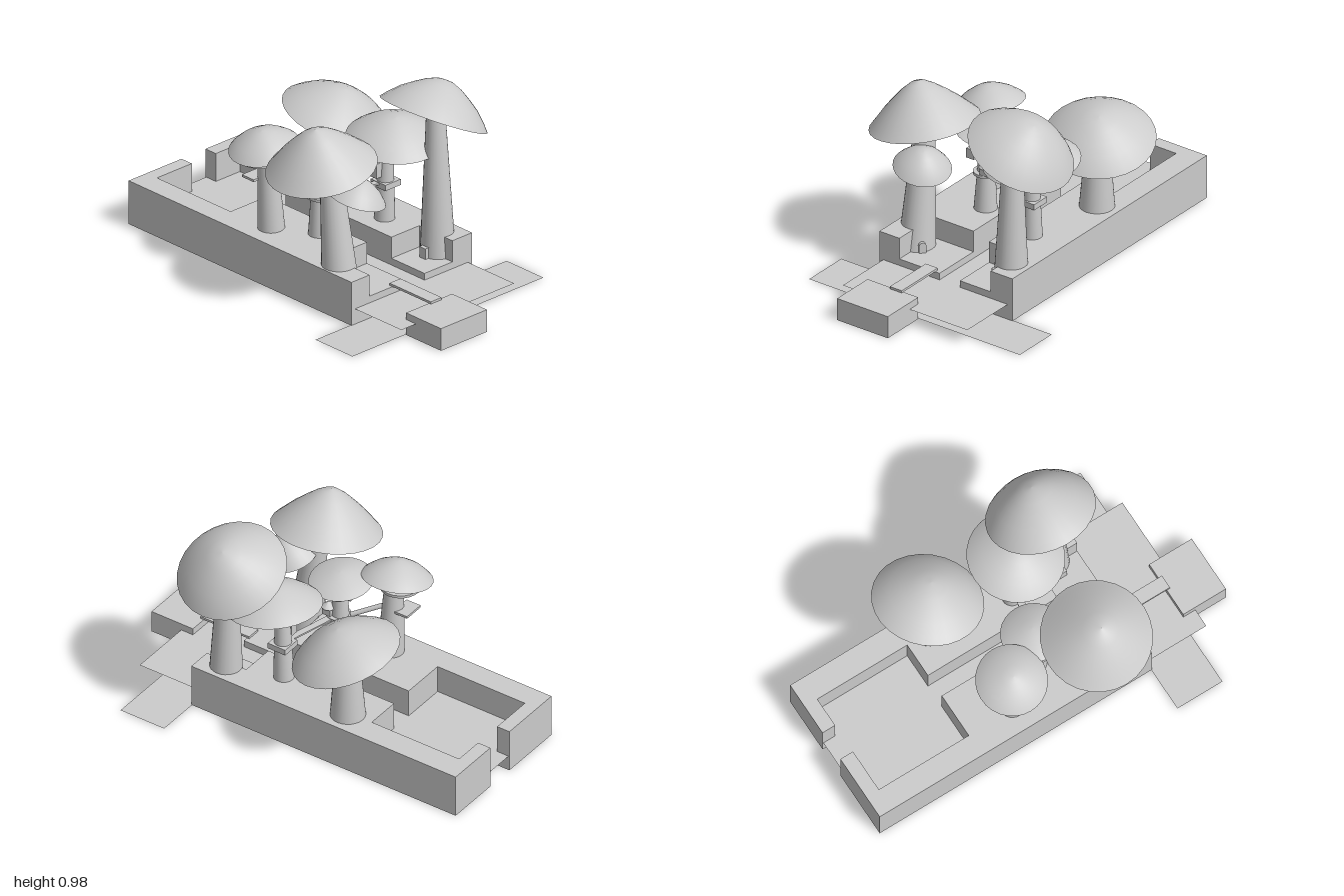
import * as THREE from 'three';

const mat = new THREE.MeshStandardMaterial({ color: 0xcccccc, side: THREE.DoubleSide });
const V = (x, y, z) => new THREE.Vector3(x, y, z);

function add(parent, name, geometry, x = 0, y = 0, z = 0) {
  const mesh = new THREE.Mesh(geometry, mat);
  mesh.name = name;
  mesh.position.set(x, y, z);
  parent.add(mesh);
  return mesh;
}

// Flat horizontal surface from an [x, z] outline
function sheet(outline) {
  const shape = new THREE.Shape(outline.map(([x, z]) => new THREE.Vector2(x, -z)));
  return new THREE.ShapeGeometry(shape).rotateX(-Math.PI / 2);
}

// Hollow block: a top surface and its walls, open underneath
function terrace(parent, name, outline, height) {
  const group = new THREE.Group();
  group.name = name;
  parent.add(group);
  add(group, name + 'Top', sheet(outline), 0, height, 0);
  outline.forEach(([x, z], i) => {
    const [u, w] = outline[(i + 1) % outline.length];
    const wall = new THREE.PlaneGeometry(Math.hypot(u - x, w - z), height);
    add(group, name + 'Wall', wall, (x + u) / 2, height / 2, (z + w) / 2)
      .rotation.y = -Math.atan2(w - z, u - x);
  });
}

const rect = (x0, x1, z0, z1) => [[x0, z1], [x1, z1], [x1, z0], [x0, z0]];

// Tapered round post between two points
function post(parent, name, a, b, r0, r1, sides = 24) {
  const dir = b.clone().sub(a);
  const mesh = add(parent, name, new THREE.CylinderGeometry(r1, r0, dir.length(), sides));
  mesh.position.copy(a).addScaledVector(dir, 0.5);
  mesh.quaternion.setFromUnitVectors(V(0, 1, 0), dir.normalize());
}

// Tilted mushroom cap; slope gives the rise of the rim along x and z
function cap(parent, { at, r, h, slope, round }) {
  const profile = [[1, 0], [0.9, 0.13 + round * 0.09], [0.72, 0.37 + round * 0.15],
    [0.52, 0.6 + round * 0.13], [0.33, 0.8 + round * 0.1], [0.15, 0.95 + round * 0.04], [0, 1]];
  const geometry = new THREE.LatheGeometry(profile.map(([a, b]) => new THREE.Vector2(a * r, b * h)), 28);
  const mesh = add(parent, 'cap', geometry, ...at);
  mesh.quaternion.setFromUnitVectors(V(0, 1, 0), V(-slope[0], 1, -slope[1]).normalize());
}

// Round deck around a trunk
function deck(parent, x, y, z, r) {
  add(parent, 'deck', new THREE.CylinderGeometry(r, r, 0.014, 24), x, y, z);
}

// Small hut, with or without a pointed roof
function hut(parent, x, y, z, w, h, roofed) {
  add(parent, 'hut', new THREE.BoxGeometry(w, h, w), x, y + h / 2, z);
  if (roofed) add(parent, 'hutRoof', new THREE.ConeGeometry(w * 0.85, 0.03, 8), x, y + h + 0.015, z);
}

export function createModel() {
  const model = new THREE.Group();
  model.name = 'mushroomVillage';

  // Ground strip across the front, and the raised canyon floor running out over it
  add(model, 'frontGround', sheet(rect(-0.62, 0.615, 0.51, 0.76)), 0, 0.001, 0);
  add(model, 'canyonFloor', sheet(rect(-0.37, 0.36, -0.995, 0.83)), 0, 0.08, 0);

  // High ground on both sides, each with a lower front terrace
  terrace(model, 'rightPlateau', [[-0.392, 0.515], [-0.275, 0.515], [-0.275, 0.25], [-0.04, 0.25],
    [-0.04, -0.43], [-0.275, -0.43], [-0.275, -0.93], [-0.05, -0.93], [-0.05, -1], [-0.392, -1]], 0.225);
  terrace(model, 'leftPlateau', [[0.387, 0.515], [0.26, 0.515], [0.26, 0.29], [0.08, 0.29],
    [0.08, -0.43], [0.26, -0.43], [0.26, -0.93], [0.105, -0.93], [0.105, -1], [0.387, -1]], 0.225);
  terrace(model, 'rightFrontTerrace', rect(-0.275, -0.04, 0.25, 0.515), 0.115);
  terrace(model, 'leftFrontTerrace', rect(0.08, 0.26, 0.29, 0.515), 0.115);

  // Landing in front and the plank leading to it
  terrace(model, 'landing', rect(-0.275, 0.022, 0.763, 1), 0.115);
  add(model, 'plank', new THREE.BoxGeometry(0.07, 0.012, 0.28), -0.097, 0.124, 0.64);

  // Mushroom trees
  const trees = [
    { name: 'tallRightMushroom', base: [-0.3, 0.1, 0.345], top: [-0.305, 0.8, 0.27], r0: 0.09, r1: 0.045,
      at: [-0.33, 0.712, 0.245], r: 0.267, h: 0.21, slope: [0.2, 0], round: 0 },
    { name: 'tallLeftMushroom', base: [0.285, 0.06, 0.39], top: [0.285, 0.88, 0.375], r0: 0.087, r1: 0.043,
      at: [0.305, 0.805, 0.34], r: 0.268, h: 0.175, slope: [-0.5, 0], round: 0.6 },
    { name: 'backLeftMushroom', base: [0.27, 0.225, -0.3], top: [0.275, 0.66, -0.3], r0: 0.085, r1: 0.05,
      at: [0.285, 0.59, -0.3], r: 0.268, h: 0.142, slope: [-0.18, -0.27], round: 0.6 },
    { name: 'middleLeftMushroom', base: [0.202, 0.225, 0.115], top: [0.205, 0.7, 0.125], r0: 0.05, r1: 0.03,
      at: [0.23, 0.645, 0.155], r: 0.234, h: 0.112, slope: [0.05, -0.12], round: 0.6 },
    { name: 'backRightMushroom', base: [-0.255, 0.225, -0.175], top: [-0.27, 0.69, -0.19], r0: 0.065, r1: 0.042,
      at: [-0.28, 0.645, -0.195], r: 0.172, h: 0.09, slope: [0.2, 0], round: 0.6 },
    { name: 'middleRightMushroom', base: [-0.135, 0.225, 0.03], top: [-0.13, 0.66, 0.025], r0: 0.056, r1: 0.028,
      at: [-0.13, 0.63, 0.02], r: 0.155, h: 0.048, slope: [-0.13, 0], round: 0.5 },
  ];
  const groups = {};
  for (const t of trees) {
    const group = groups[t.name] = new THREE.Group();
    group.name = t.name;
    model.add(group);
    post(group, 'trunk', V(...t.base), V(...t.top), t.r0, t.r1);
    cap(group, t);
  }

  // Small mushroom growing out of the tall right trunk
  const shoot = new THREE.Group();
  shoot.name = 'sideMushroom';
  model.add(shoot);
  const bend = new THREE.QuadraticBezierCurve3(V(-0.29, 0.53, 0.3), V(-0.25, 0.54, 0.38), V(-0.23, 0.63, 0.385));
  add(shoot, 'sideStem', new THREE.TubeGeometry(bend, 10, 0.012, 8));
  cap(shoot, { at: [-0.235, 0.566, 0.39], r: 0.14, h: 0.1, slope: [-0.24, -0.15], round: 0.7 });

  // Decks and huts on the trunks
  const backLeft = groups.backLeftMushroom;
  deck(backLeft, 0.26, 0.52, -0.31, 0.1);
  for (let i = 0; i < 6; i++) {
    const c = Math.cos(i * Math.PI / 3), s = Math.sin(i * Math.PI / 3);
    post(backLeft, 'deckBrace', V(0.26 + c * 0.06, 0.46, -0.31 + s * 0.06),
      V(0.26 + c * 0.085, 0.52, -0.31 + s * 0.085), 0.005, 0.005, 6);
  }
  hut(backLeft, 0.23, 0.525, -0.36, 0.05, 0.05, false);
  const backRight = groups.backRightMushroom;
  deck(backRight, -0.3, 0.59, -0.2, 0.1);
  add(backRight, 'porch', new THREE.BoxGeometry(0.11, 0.012, 0.08), -0.28, 0.48, -0.25);
  const middleRight = groups.middleRightMushroom;
  deck(middleRight, -0.13, 0.42, 0.035, 0.06);
  deck(middleRight, -0.12, 0.548, 0.03, 0.057);
  hut(middleRight, -0.1, 0.43, 0.07, 0.045, 0.04, true);
  hut(middleRight, -0.21, 0.47, 0.03, 0.045, 0.05, false);
  const middleLeft = groups.middleLeftMushroom;
  add(middleLeft, 'squareDeck', new THREE.BoxGeometry(0.1, 0.03, 0.1), 0.205, 0.412, 0.12);
  add(middleLeft, 'upperDeck', new THREE.BoxGeometry(0.09, 0.04, 0.09), 0.195, 0.615, 0.1);
  hut(middleLeft, 0.155, 0.455, 0.11, 0.045, 0.075, false);

  // Hanging bridge across the canyon
  const bridge = add(model, 'bridge', new THREE.BoxGeometry(0.33, 0.008, 0.035), 0.03, 0.42, 0.08);
  bridge.rotation.y = -0.25;

  // Ramp climbing from the middle deck to the back
  post(model, 'ramp', V(-0.15, 0.43, -0.02), V(-0.24, 0.48, -0.14), 0.012, 0.012, 6);

  // Doors at the feet of the tall trunks
  const arch = new THREE.Shape();
  arch.moveTo(-0.018, 0).lineTo(0.018, 0).lineTo(0.018, 0.035).absarc(0, 0.035, 0.018, 0, Math.PI, false);
  const door = new THREE.ExtrudeGeometry(arch, { depth: 0.03, bevelEnabled: false, curveSegments: 8 });
  add(model, 'rightDoor', door, -0.245, 0.115, 0.385).rotation.y = 0.9;
  add(model, 'leftDoor', new THREE.BoxGeometry(0.04, 0.055, 0.04), 0.205, 0.1425, 0.39);

  return model;
}
